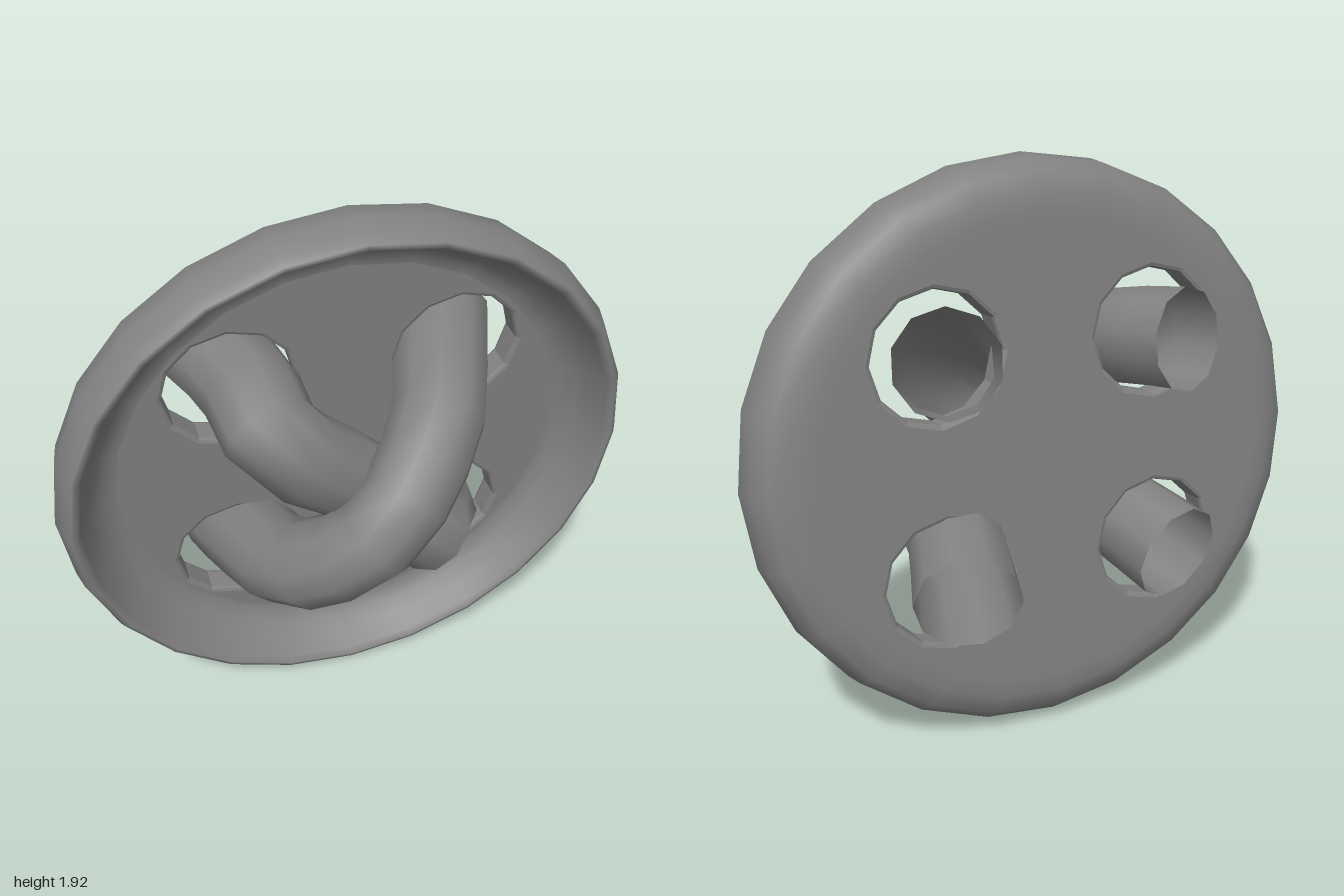
import * as THREE from 'three';

const material = new THREE.MeshStandardMaterial({ color: 0x828282, side: THREE.DoubleSide });

function addMesh(parent, name, geometry) {
  const mesh = new THREE.Mesh(geometry, material);
  mesh.name = name;
  parent.add(mesh);
}

// Dished disc with four thread holes, facing +z
function createButton() {
  const button = new THREE.Group();
  button.name = 'button';

  // Rounded rim, profile given as [radius, z] from the back to the dish
  const profile = [
    [0.79, -0.135], [0.82, -0.135], [0.88, -0.132], [0.945, -0.11], [0.985, -0.06], [1, 0.03], [0.98, 0.105],
    [0.962, 0.133], [0.945, 0.137], [0.93, 0.115], [0.9, 0.05], [0.86, 0], [0.82, -0.025], [0.79, -0.03],
  ].map(([r, z]) => new THREE.Vector2(r, z));
  addMesh(button, 'rim', new THREE.LatheGeometry(profile, 24).rotateX(Math.PI / 2));

  // Flat centre with softened hole edges
  const plate = new THREE.Shape().absarc(0, 0, 0.815, 0, Math.PI * 2);
  for (const sx of [-1, 1]) {
    for (const sy of [-1, 1]) {
      const points = [];
      for (let i = 0; i < 12; i++) {
        const a = (i / 12) * Math.PI * 2;
        points.push(new THREE.Vector2(sx * 0.388 + Math.cos(a) * 0.22, sy * 0.38 + Math.sin(a) * 0.22));
      }
      plate.holes.push(new THREE.Path(points));
    }
  }
  const bevel = 0.015;
  const plateGeometry = new THREE.ExtrudeGeometry(plate, {
    depth: 0.105 - 2 * bevel, bevelThickness: bevel, bevelSize: bevel,
    bevelOffset: -bevel, bevelSegments: 2, curveSegments: 12,
  });
  addMesh(button, 'plate', plateGeometry.translate(0, 0, -0.135 + bevel));

  button.scale.y = 0.965;
  button.rotation.set(0.09, 0.035, 0);
  button.position.set(0, 0.968, -0.05);
  return button;
}

// Open-ended thread, slimmer in the middle than at its ends
function createThread(points) {
  const curve = new THREE.CatmullRomCurve3(points.map((p) => new THREE.Vector3(...p)));
  const segments = 12, sides = 10;
  const geometry = new THREE.TubeGeometry(curve, segments, 1, sides);
  const position = geometry.attributes.position;
  const v = new THREE.Vector3();
  for (let i = 0; i <= segments; i++) {
    const t = i / segments;
    const centre = curve.getPointAt(t);
    const radius = 0.147 + 0.025 * Math.abs(2 * t - 1);
    for (let j = 0; j <= sides; j++) {
      const k = i * (sides + 1) + j;
      v.fromBufferAttribute(position, k).sub(centre).multiplyScalar(radius).add(centre);
      position.setXYZ(k, v.x, v.y, v.z);
    }
  }
  return geometry;
}

export function createModel() {
  const model = new THREE.Group();
  model.name = 'sewnButton';
  model.add(createButton());

  // Crossed stitches running through opposite holes, their ends splayed outwards
  addMesh(model, 'upperThread', createThread([
    [0.4, 1.36, -0.28], [0.33, 1.3, -0.07], [0.24, 1.2, 0.16], [0, 0.95, 0.34],
    [-0.24, 0.73, 0.17], [-0.34, 0.66, -0.09], [-0.4, 0.61, -0.34],
  ]));
  addMesh(model, 'lowerThread', createThread([
    [-0.42, 1.35, -0.31], [-0.33, 1.32, -0.08], [-0.28, 1.24, 0.15], [0, 0.99, 0.11],
    [0.27, 0.74, 0.14], [0.32, 0.69, -0.13], [0.4, 0.63, -0.41],
  ]));
  return model;
}
